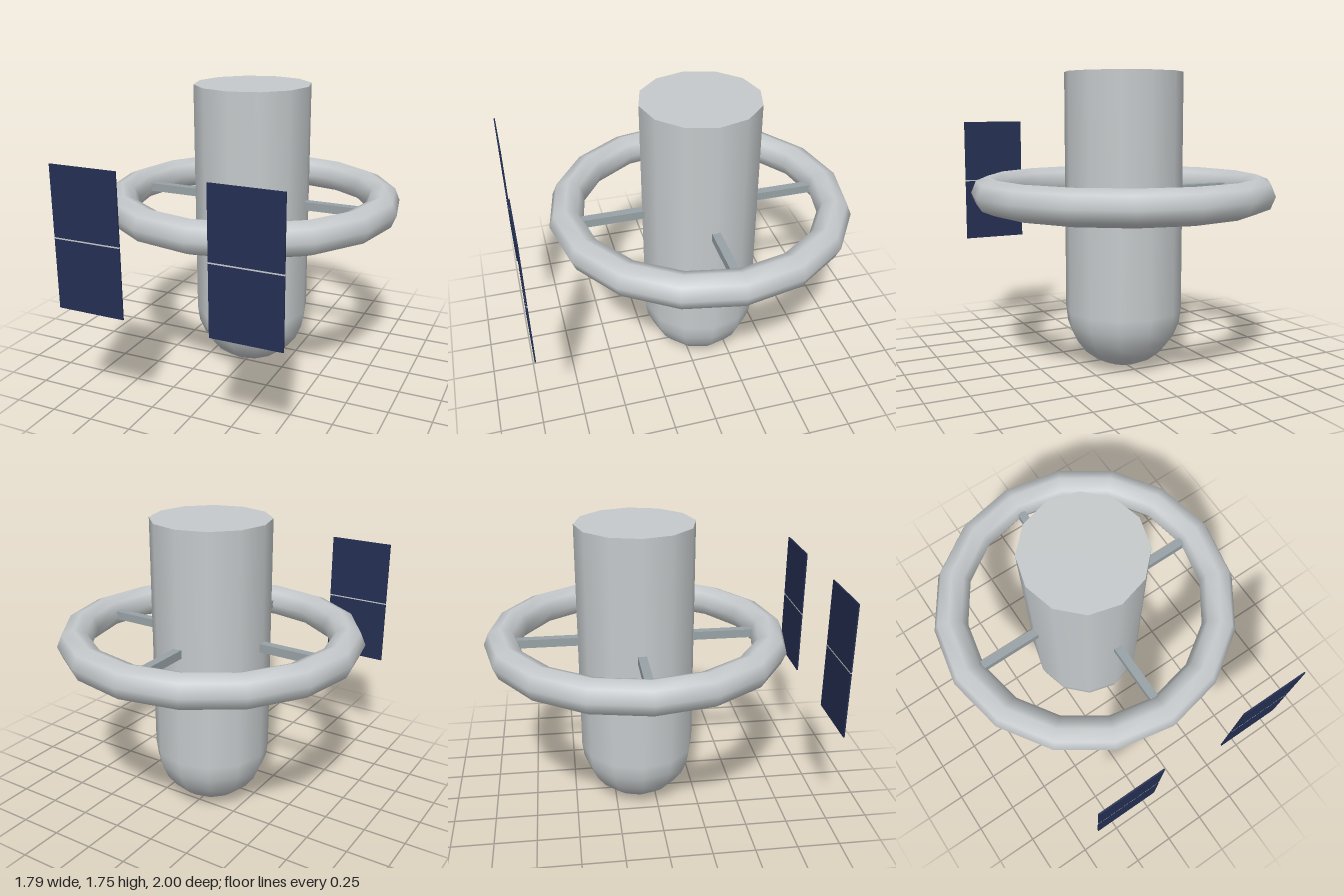
import * as THREE from 'three';

const material = (name, color) => {
  const m = new THREE.MeshStandardMaterial({ color });
  m.name = name;
  return m;
};

export function createModel() {
  const hull = material('hull grey', 0xc6cacc);
  const strut = material('strut grey', 0x98a2a6);
  const cells = material('solar blue', 0x242f53);

  const model = new THREE.Group();
  model.name = 'spaceStation';
  const add = (name, geometry, mat, x, y, z, parent = model) => {
    const mesh = new THREE.Mesh(geometry, mat);
    mesh.name = name;
    mesh.position.set(x, y, z);
    parent.add(mesh);
    return mesh;
  };

  const R = 0.348;      // hull radius
  const axisZ = -0.104; // station axis
  const ringY = 1.05;

  // Hull: twelve-sided cylinder on a hemispherical nose
  const top = 1.75;
  add('hull', new THREE.CylinderGeometry(R, R, top - R, 12), hull, 0, (top + R) / 2, axisZ);
  add('noseDome', new THREE.SphereGeometry(R, 12, 6, 0, Math.PI * 2, Math.PI / 2, Math.PI / 2),
    hull, 0, R, axisZ);

  // Habitat ring
  const ring = new THREE.TorusGeometry(0.796, 0.0995, 8, 16);
  ring.rotateX(Math.PI / 2);
  add('habitatRing', ring, hull, 0, ringY, axisZ);

  // Four spokes from hull to ring
  const spoke = new THREE.BoxGeometry(0.45, 0.05, 0.05);
  spoke.translate(0.525, 0, 0);
  for (let i = 0; i < 4; i++) {
    add('spoke' + (i + 1), spoke, strut, 0, ringY, axisZ).rotation.y = i * Math.PI / 2;
  }

  // Pair of solar panels, each with a dividing rail
  for (const side of [1, -1]) {
    const panel = new THREE.Group();
    panel.name = side > 0 ? 'leftSolarPanel' : 'rightSolarPanel';
    panel.position.set(side * 0.449, ringY, 0.995);
    model.add(panel);
    for (const s of [1, -1]) {
      add(s > 0 ? 'upperCells' : 'lowerCells', new THREE.BoxGeometry(0.398, 0.394, 0.008),
        cells, 0, s * 0.201, 0, panel);
    }
    add('dividingRail', new THREE.BoxGeometry(0.398, 0.008, 0.009), hull, 0, 0, 0, panel);
  }
  return model;
}
